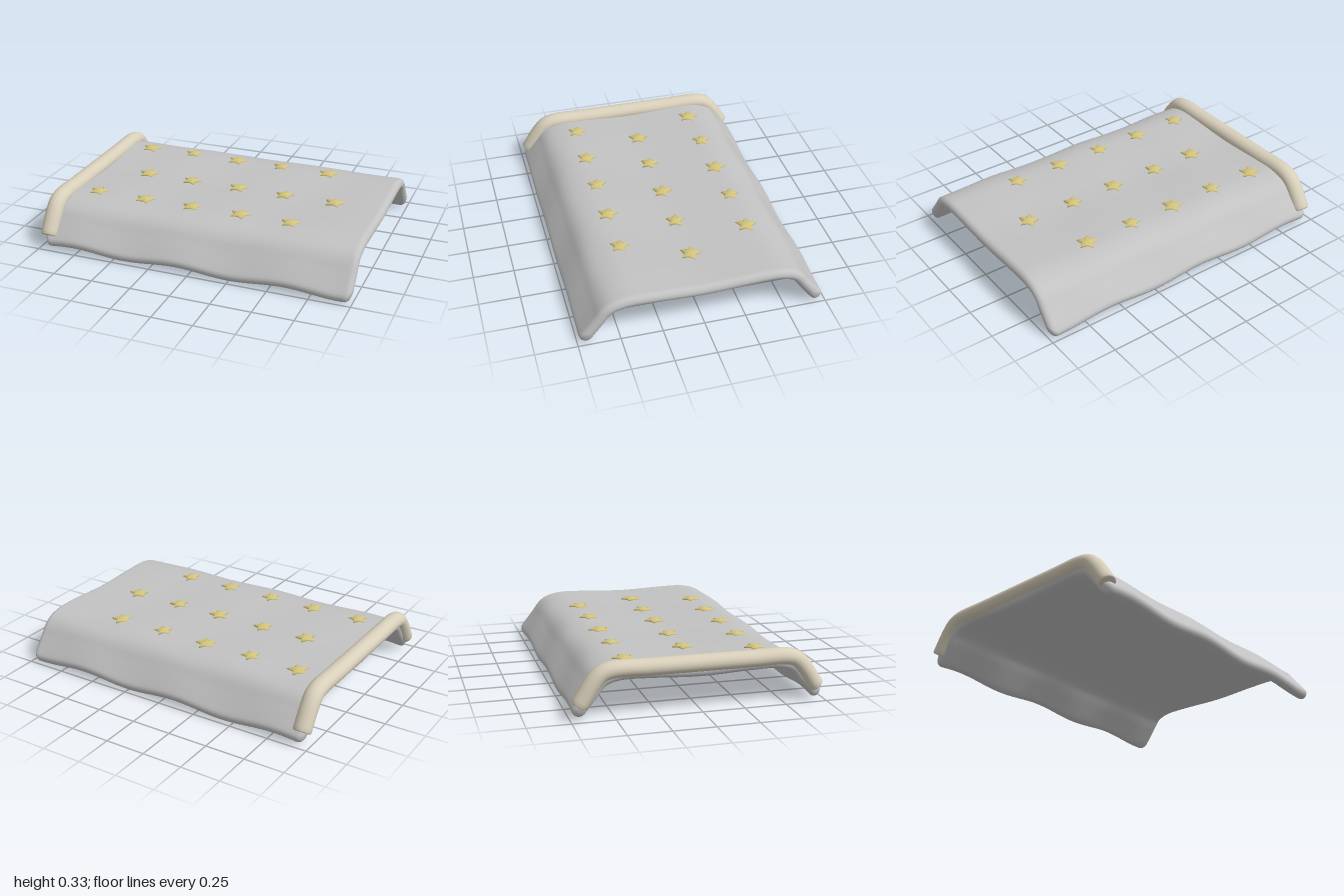
import * as THREE from 'three';

const V = (x, y, z) => new THREE.Vector3(x, y, z);

// Skin a list of closed rings; optional centre points close the two ends.
function loft(rings, startTip, endTip) {
  const n = rings[0].length, pts = rings.flat(), index = [];
  for (let i = 0; i < rings.length - 1; i++) {
    for (let j = 0; j < n; j++) {
      const a = i * n + j, b = i * n + (j + 1) % n;
      index.push(a, b, a + n, b, b + n, a + n);
    }
  }
  const last = (rings.length - 1) * n;
  if (startTip) {
    const c = pts.push(startTip) - 1;
    for (let j = 0; j < n; j++) index.push(c, (j + 1) % n, j);
  }
  if (endTip) {
    const c = pts.push(endTip) - 1;
    for (let j = 0; j < n; j++) index.push(c, last + j, last + (j + 1) % n);
  }
  // Turn the faces outward if the enclosed volume is negative
  let volume = 0;
  const cross = V(0, 0, 0);
  for (let i = 0; i < index.length; i += 3) {
    volume += pts[index[i]].dot(cross.crossVectors(pts[index[i + 1]], pts[index[i + 2]]));
  }
  if (volume < 0) index.reverse();
  const geo = new THREE.BufferGeometry().setFromPoints(pts);
  geo.setIndex(index);
  geo.computeVertexNormals();
  return geo;
}

// Mirrored drape path across the bed, from half of its [z, y] points
function drapePath(half) {
  const right = half.map(([z, y]) => V(0, y, z));
  const left = half.slice(1).reverse().map(([z, y]) => V(0, y, -z));
  return new THREE.CatmullRomCurve3([...left, ...right], false, 'centripetal');
}

// Position, tangent and upward normal on a path
function frame(path, u) {
  const p = path.getPointAt(u), t = path.getTangentAt(u);
  return { p, t, n: V(0, t.z, -t.y) };
}

// Soft waves of the cloth: gentle on top, a wavy hem at the sides
function wave(x, z) {
  const side = THREE.MathUtils.smoothstep(Math.abs(z), 0.52, 0.7);
  const top = -0.006 * Math.cos(Math.PI * z / 0.35) + 0.003 * Math.sin(9 * x + 3 * z);
  const hem = -0.012 * Math.cos(2 * Math.PI * (x + 0.43) / 0.68);
  return top * (1 - side) + hem * side;
}

const HALF = 0.036;   // half the cloth thickness

function blanketGeometry() {
  const path = drapePath([[0, 0.238], [0.3, 0.238], [0.48, 0.238], [0.565, 0.212], [0.62, 0.148], [0.7, 0.049]]);
  const length = path.getLength(), x0 = -0.97, x1 = 0.996, corner = 0.05;
  const xs = [];
  const ends = 8, middle = 44;
  for (let i = 0; i < ends; i++) xs.push(x0 + corner * (1 - Math.cos(i / ends * Math.PI / 2)));
  for (let i = 0; i <= middle; i++) xs.push(THREE.MathUtils.lerp(x0 + corner, x1 - corner, i / middle));
  for (let i = ends - 1; i >= 0; i--) xs.push(x1 - corner * (1 - Math.cos(i / ends * Math.PI / 2)));

  const rings = xs.map((x) => {
    const gap = Math.min(x - x0, x1 - x);
    const arc = (r) => Math.sqrt(Math.max(0, 1 - Math.max(0, 1 - gap / r) ** 2));
    const h = HALF * arc(HALF), cut = corner * (1 - arc(corner)) / length;
    const ring = [];
    const add = (u, angle) => {
      const { p, t, n } = frame(path, u);
      p.addScaledVector(n, h * Math.cos(angle)).addScaledVector(t, h * Math.sin(angle));
      ring.push(V(x, p.y + wave(x, p.z), p.z));
    };
    const N = 64;
    for (let i = 0; i <= N; i++) add(cut + (1 - 2 * cut) * i / N, 0);
    for (let i = 1; i < 8; i++) add(1 - cut, i / 8 * Math.PI);
    for (let i = N; i >= 0; i--) add(cut + (1 - 2 * cut) * i / N, Math.PI);
    for (let i = 1; i < 8; i++) add(cut, Math.PI + i / 8 * Math.PI);
    return ring;
  });
  return loft(rings);
}

// Padded roll folded over the head end
function cuffGeometry() {
  const path = drapePath([[0, 0.275], [0.3, 0.275], [0.51, 0.275], [0.57, 0.257], [0.62, 0.205], [0.698, 0.087]]);
  const ring = (u, scale, push = 0) => {
    const { p, t, n } = frame(path, u);
    p.addScaledVector(t, push);
    return Array.from({ length: 24 }, (_, i) => {
      const a = i / 24 * Math.PI * 2;
      const q = p.clone().addScaledVector(n, 0.05 * scale * Math.sin(a));
      return q.setX(-0.944 + 0.056 * scale * Math.cos(a));
    });
  };
  const rings = [ring(0, 0.85, -0.007)];
  for (let i = 0; i <= 60; i++) rings.push(ring(i / 60, 1));
  rings.push(ring(1, 0.85, 0.007));
  const tip = (u, push) => {
    const { p, t } = frame(path, u);
    return p.addScaledVector(t, push).setX(-0.944);
  };
  return loft(rings, tip(0, -0.008), tip(1, 0.008));
}

// Puffy five-pointed star, tip towards -z
function starGeometry() {
  const outline = [];
  for (let i = 0; i < 10; i++) {
    const a = i / 10 * Math.PI * 2, r = i % 2 ? 0.036 : 0.066;
    outline.push([r * Math.sin(a), -r * Math.cos(a)]);
  }
  const layers = [[0.94, -0.012], [1, 0.003], [0.92, 0.01], [0.6, 0.015], [0.3, 0.018]];
  const rings = layers.map(([s, y]) => outline.map(([x, z]) => V(x * s, y, z * s)));
  return loft(rings, V(0, -0.012, 0), V(0, 0.019, 0));
}

export function createModel() {
  const model = new THREE.Group();
  model.name = 'blanket';
  const material = (name, color) => {
    const m = new THREE.MeshStandardMaterial({ color });
    m.name = name;
    return m;
  };
  const grey = material('grey cloth', 0xc2c2c2);
  const cream = material('cream cuff', 0xd8cfba);
  const gold = material('pale gold', 0xd2c37a);

  const add = (name, geometry, mat) => {
    const mesh = new THREE.Mesh(geometry, mat);
    mesh.name = name;
    model.add(mesh);
    return mesh;
  };
  add('cover', blanketGeometry(), grey);
  add('cuff', cuffGeometry(), cream);

  // Three staggered rows of stars
  const star = starGeometry();
  const outer = [-0.75, -0.43, -0.115, 0.2, 0.52], inner = [-0.585, -0.28, 0.045, 0.355, 0.68];
  [[-0.4, outer], [0, inner], [0.39, outer]].forEach(([z, row], r) => {
    row.forEach((x, i) => {
      const mesh = add('star', star, gold);
      mesh.position.set(x, 0.238 + HALF + wave(x, z), z);
      mesh.rotation.y = 0.1 * Math.sin(i * 2.3 + r * 1.7);
      const s = 0.97 + 0.06 * Math.cos(i * Math.PI + r);
      mesh.scale.set(s, 1, s);
    });
  });
  return model;
}
